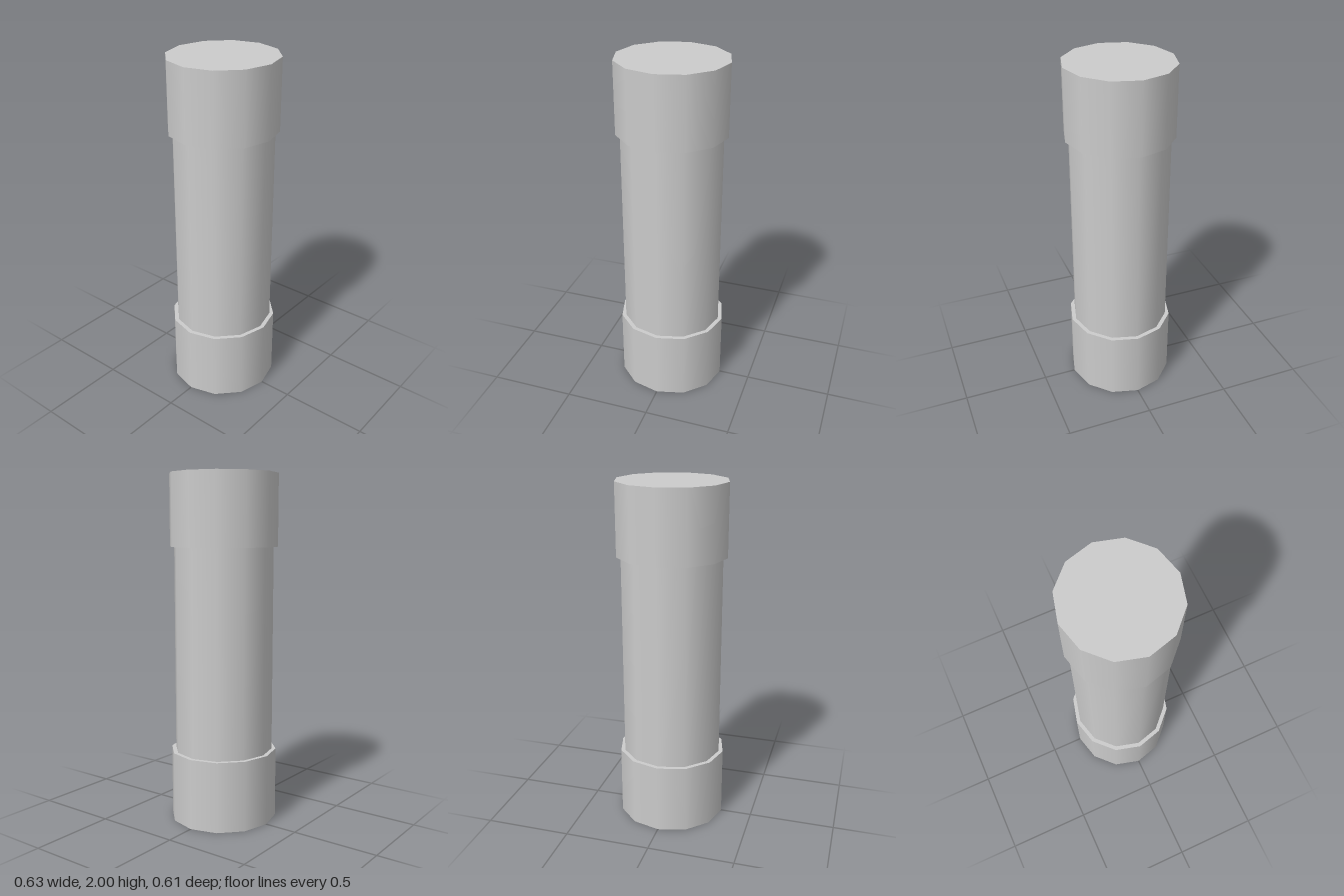
import * as THREE from 'three';

const SIDES = 12;
const material = new THREE.MeshStandardMaterial({ color: 0xcccccc });

// Upright twelve-sided drum, slightly oval, with smooth sides and flat ends
function drum(name, radiusX, radiusZ, bottom, top) {
  const geometry = new THREE.CylinderGeometry(1, 1, top - bottom, SIDES);
  geometry.scale(radiusX, 1, radiusZ);
  const mesh = new THREE.Mesh(geometry, material);
  mesh.name = name;
  mesh.position.y = (bottom + top) / 2;
  return mesh;
}

export function createModel() {
  const group = new THREE.Group();
  group.name = 'fuse';

  // Tube between the two end caps
  group.add(drum('tube', 0.291, 0.283, 0.41, 1.592));

  // Wider end caps
  group.add(drum('bottomCap', 0.316, 0.307, 0, 0.41));
  group.add(drum('topCap', 0.316, 0.307, 1.592, 2));

  return group;
}
